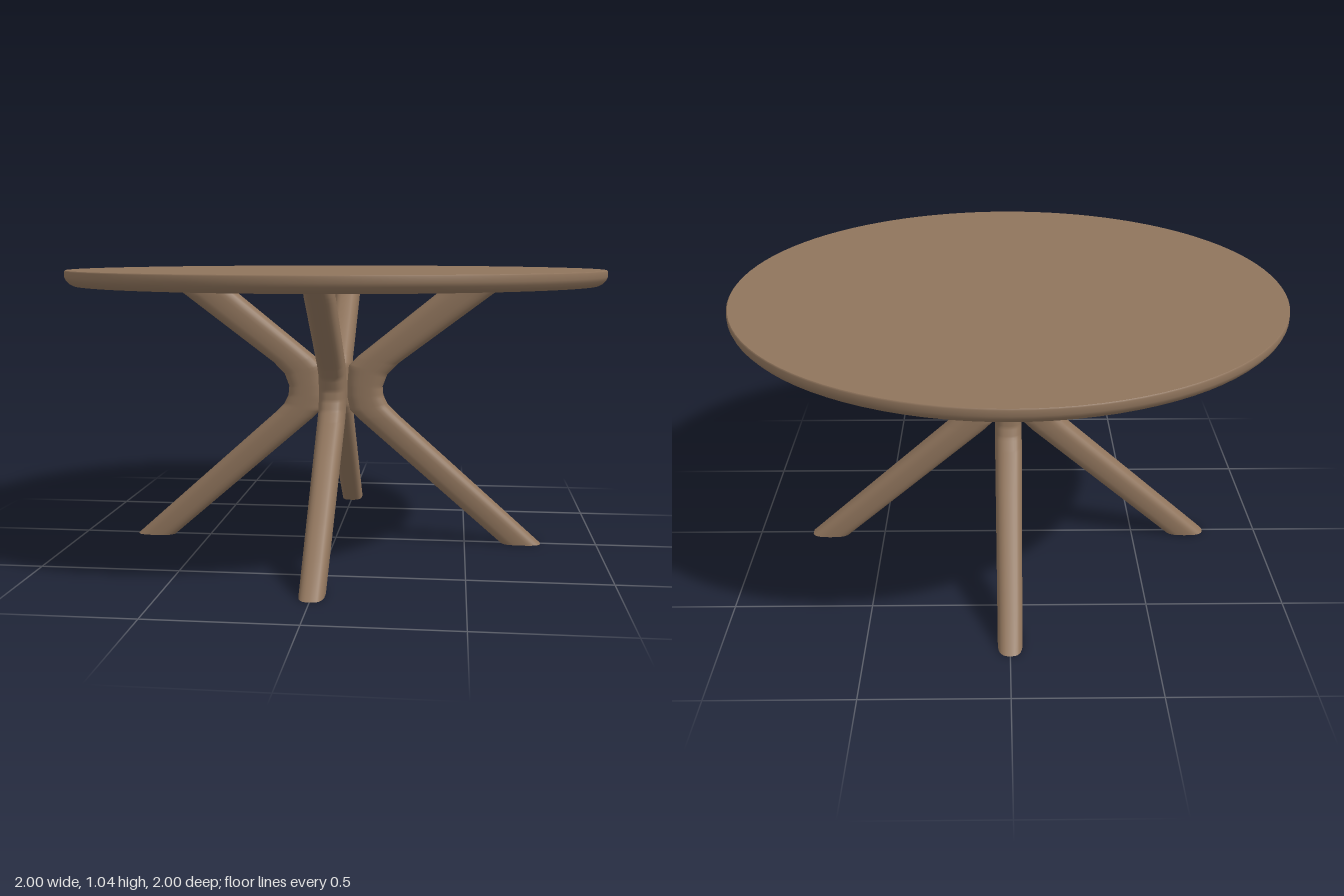
import * as THREE from 'three';

const wood = new THREE.MeshStandardMaterial({ color: 0x8f745c });
wood.name = 'wood';
const darkUnderside = new THREE.MeshStandardMaterial({ color: 0x3e3024 });
darkUnderside.name = 'dark underside';

// Leg outline from foot to top: [inner x, inner y, outer x, outer y, half width]
const LEG_ROWS = [
  [0.64, 0, 0.79, 0, 0.043],
  [0.09, 0.475, 0.24, 0.49, 0.05],
  [0.055, 0.51, 0.2, 0.53, 0.05],
  [0.045, 0.56, 0.183, 0.565, 0.05],
  [0.045, 0.61, 0.18, 0.6, 0.05],
  [0.05, 0.68, 0.197, 0.645, 0.05],
  [0.085, 0.715, 0.24, 0.69, 0.05],
  [0.37, 0.945, 0.575, 0.942, 0.05],
  [0.39, 0.962, 0.602, 0.962, 0.05],
  [0.39, 0.991, 0.64, 0.991, 0.05],
];

// Rounded sections lofted along the leg, with a flat foot
function legGeometry(sides = 28, steps = 5) {
  const rows = [];
  LEG_ROWS.forEach((row, r) => {
    const next = LEG_ROWS[r + 1];
    if (!next) return rows.push(row);
    for (let s = 0; s < steps; s++) {
      rows.push(row.map((v, k) => THREE.MathUtils.lerp(v, next[k], s / steps)));
    }
  });

  const positions = [];
  const index = [];
  const round = (v) => Math.sign(v) * Math.abs(v) ** 0.72;
  const addRing = ([ix, iy, ox, oy, w]) => {
    for (let i = 0; i < sides; i++) {
      const a = (i / sides) * Math.PI * 2;
      const t = 0.5 + 0.5 * round(Math.cos(a));
      positions.push(ix + (ox - ix) * t, iy + (oy - iy) * t, w * round(Math.sin(a)));
    }
  };
  rows.forEach(addRing);
  for (let r = 0; r < rows.length - 1; r++) {
    for (let i = 0; i < sides; i++) {
      const a = r * sides + i;
      const b = r * sides + ((i + 1) % sides);
      index.push(a, a + sides, b, b, a + sides, b + sides);
    }
  }

  // Foot cap with its own vertices for a sharp edge
  const cap = positions.length / 3;
  addRing(rows[0]);
  for (let i = 1; i < sides - 1; i++) index.push(cap, cap + i, cap + i + 1);

  const geometry = new THREE.BufferGeometry();
  geometry.setAttribute('position', new THREE.Float32BufferAttribute(positions, 3));
  geometry.setIndex(index);
  geometry.computeVertexNormals();
  return geometry;
}

function addMesh(group, name, geometry, material) {
  const mesh = new THREE.Mesh(geometry, material);
  mesh.name = name;
  group.add(mesh);
  return mesh;
}

export function createModel() {
  const table = new THREE.Group();
  table.name = 'roundTable';

  // Tabletop: flat disc, rounded rim, dark underside
  const top = new THREE.Group();
  top.name = 'tabletop';
  table.add(top);
  const profile = [
    [0.97, 0.99], [0.984, 0.998], [0.995, 1.01], [1, 1.022], [1, 1.041], [0.996, 1.045],
  ].map(([x, y]) => new THREE.Vector2(x, y));
  addMesh(top, 'tabletopRim', new THREE.LatheGeometry(profile, 96), wood);
  const surface = addMesh(top, 'tabletopSurface', new THREE.CircleGeometry(0.996, 96), wood);
  surface.rotation.x = -Math.PI / 2;
  surface.position.y = 1.045;
  const underside = addMesh(top, 'tabletopUnderside', new THREE.CircleGeometry(0.97, 96), darkUnderside);
  underside.rotation.x = Math.PI / 2;
  underside.position.y = 0.99;

  // Four bent legs meeting back to back at the centre
  const geometry = legGeometry();
  ['leftLeg', 'backLeg', 'rightLeg', 'frontLeg'].forEach((name, i) => {
    addMesh(table, name, geometry, wood).rotation.y = (i * Math.PI) / 2;
  });

  return table;
}
